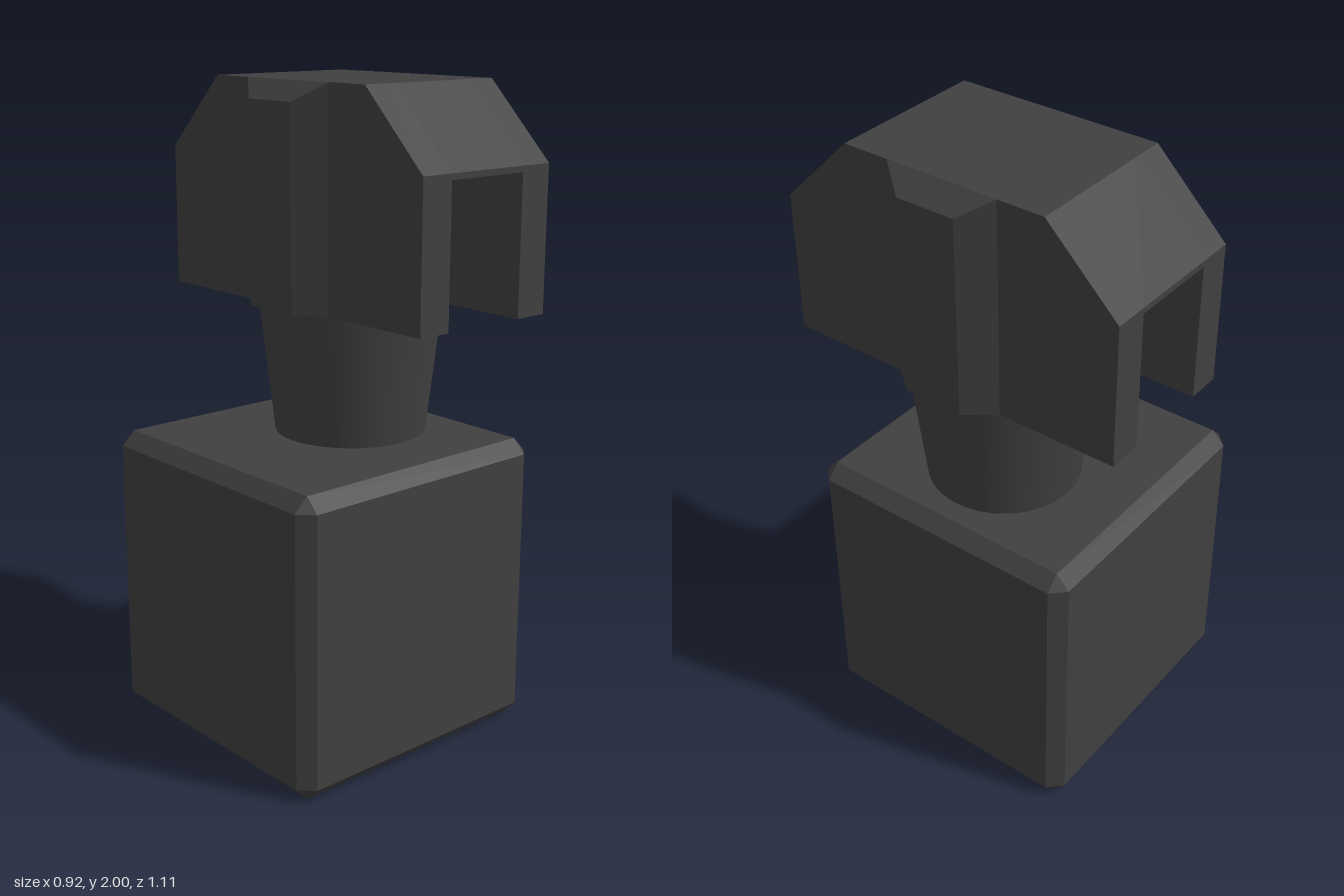
import * as THREE from 'three';
import { ConvexGeometry } from 'three/addons/geometries/ConvexGeometry.js';

const charcoal = new THREE.MeshStandardMaterial({ color: 0x404040 });
charcoal.name = 'charcoal';

const BASE_H = 0.925, NECK_TOP = 1.34, TOP = 2;
const HEAD_X = 0.116, HEAD_HALF = 0.249, SLOT_HALF = 0.141, SLOT_TOP = 1.757;

function part(name, geometry, parent) {
  const mesh = new THREE.Mesh(geometry, charcoal);
  mesh.name = name;
  parent.add(mesh);
  return mesh;
}

// Cube with every edge and corner cut flat
function chamferedCube(half, cut) {
  const pts = [], i = half - cut;
  for (const x of [-1, 1]) for (const y of [-1, 1]) for (const z of [-1, 1]) {
    pts.push(
      new THREE.Vector3(x * half, y * i, z * i),
      new THREE.Vector3(x * i, y * half, z * i),
      new THREE.Vector3(x * i, y * i, z * half));
  }
  return new ConvexGeometry(pts);
}

// Side profile of the head above a given height, extruded from x0 to x1
function headSlice(bottom, x0, x1) {
  const shape = new THREE.Shape([
    [-0.555, bottom], [0.555, bottom], [0.555, 1.775],
    [0.327, TOP], [-0.327, TOP], [-0.555, 1.775],
  ].map(([z, y]) => new THREE.Vector2(z, y)));
  return new THREE.ExtrudeGeometry(shape, { depth: x1 - x0, bevelEnabled: false })
    .rotateY(Math.PI / 2).translate(x0, 0, 0);
}

// Tapered rib on one side of the head, with a sloping top
function sideRib(side) {
  const pts = [];
  for (const z of [-1, 1]) {
    for (const y of [NECK_TOP, TOP]) pts.push(new THREE.Vector3(side * HEAD_HALF, y, z * 0.18));
    for (const y of [NECK_TOP, 1.945]) pts.push(new THREE.Vector3(side * 0.315, y, z * 0.093));
  }
  return new ConvexGeometry(pts);
}

export function createModel() {
  const model = new THREE.Group();
  model.name = 'post';

  part('base', chamferedCube(0.46, 0.043), model).position.y = BASE_H / 2;

  // Flared round neck
  const neckH = NECK_TOP - BASE_H;
  part('neck', new THREE.CylinderGeometry(0.282, 0.235, neckH, 48), model)
    .position.set(HEAD_X, BASE_H + neckH / 2, 0);

  // Forked head: roof, two cheeks and a rib on each cheek
  const head = new THREE.Group();
  head.name = 'head';
  head.position.x = HEAD_X;
  model.add(head);
  part('roof', headSlice(SLOT_TOP, -SLOT_HALF, SLOT_HALF), head);
  part('rightCheek', headSlice(NECK_TOP, -HEAD_HALF, -SLOT_HALF), head);
  part('leftCheek', headSlice(NECK_TOP, SLOT_HALF, HEAD_HALF), head);
  part('rightRib', sideRib(-1), head);
  part('leftRib', sideRib(1), head);

  return model;
}
